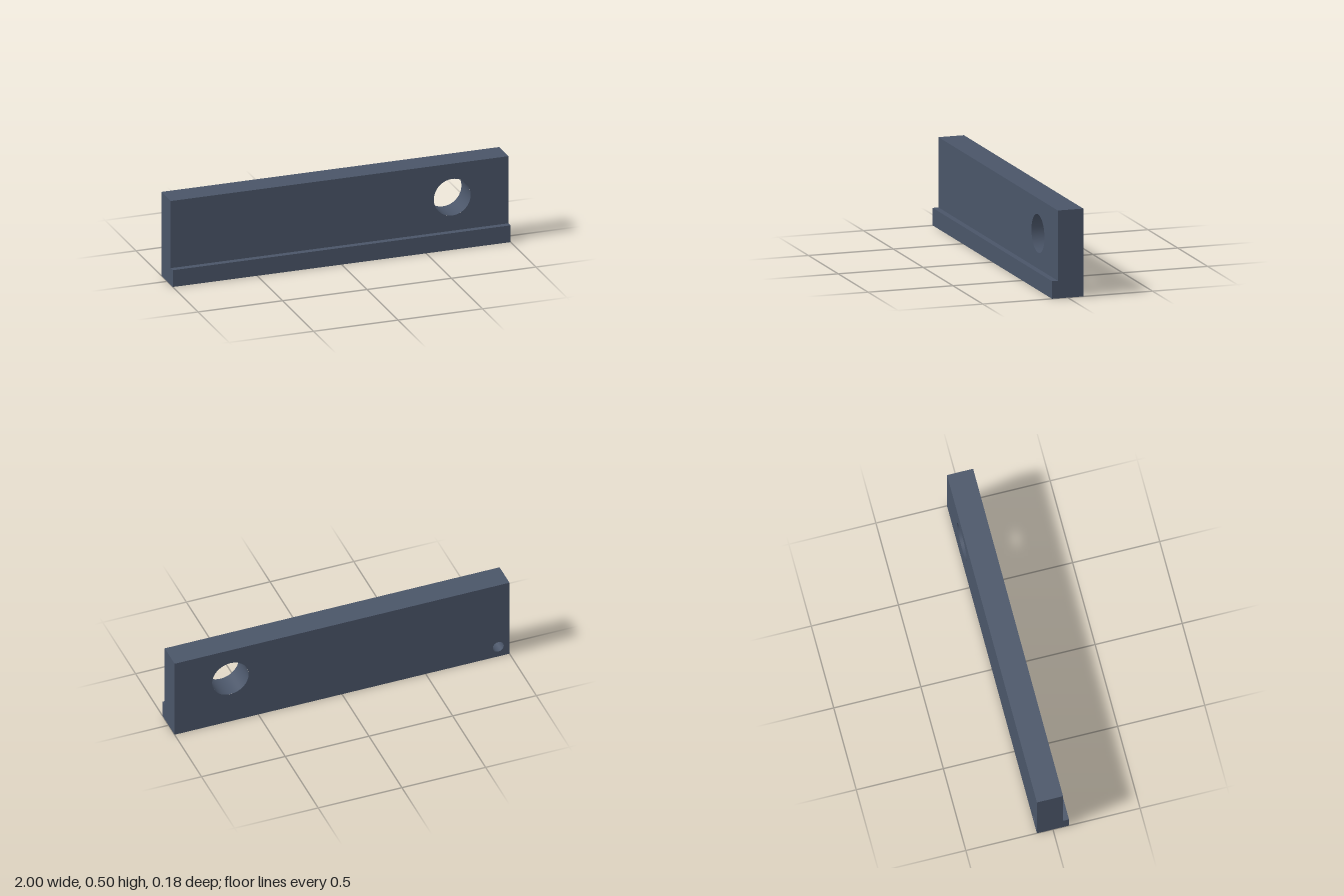
import * as THREE from 'three';

const TOP = 0.5, LIP = 0.1;                            // heights
const BACK = -0.092, FACE = 0.058, FRONT = 0.092;      // depths
const SEG = 48;
const eye = { x: 0.667, y: 0.3, r: 0.109 };            // large through hole
const pin = { x: -0.933, y: 0.067, r: 0.033 };         // blind hole in the back
const foot = { x: 0.933, z: -0.01, r: 0.033 };         // blind hole in the underside

function outline(points, holes = []) {
  const shape = new THREE.Shape(points.map(([x, y]) => new THREE.Vector2(x, y)));
  for (const [x, y, r] of holes) shape.holes.push(new THREE.Path().absarc(x, y, r, 0, Math.PI * 2, true));
  return shape;
}

const rect = (y0, y1) => [[-1, y0], [1, y0], [1, y1], [-1, y1]];

export function createModel() {
  const slate = new THREE.MeshStandardMaterial({ color: 0x4a5568 });
  slate.name = 'slate';
  const model = new THREE.Group();
  model.name = 'steppedPlate';

  function panel(name, shape, position, rx = 0, ry = 0) {
    const mesh = new THREE.Mesh(new THREE.ShapeGeometry(shape, SEG), slate);
    mesh.name = name;
    mesh.position.set(...position);
    mesh.rotation.set(rx, ry, 0);
    model.add(mesh);
  }

  // Inward-facing bore that opens along its local +y
  function bore(name, r, depth, position, rx, blind) {
    const group = new THREE.Group();
    group.name = name;
    const profile = [new THREE.Vector2(r, 0), new THREE.Vector2(r, -depth)];
    const wall = new THREE.Mesh(new THREE.LatheGeometry(profile, SEG), slate);
    wall.name = name + 'Wall';
    group.add(wall);
    if (blind) {
      const floor = new THREE.Mesh(new THREE.CircleGeometry(r, SEG), slate);
      floor.name = name + 'Floor';
      floor.rotation.x = -Math.PI / 2;
      floor.position.y = -depth;
      group.add(floor);
    }
    group.position.set(...position);
    group.rotation.x = rx;
    model.add(group);
  }

  const Q = Math.PI / 2;

  // Front of the plate and the raised lip along its foot
  panel('frontFace', outline(rect(LIP, TOP), [[eye.x, eye.y, eye.r]]), [0, 0, FACE]);
  panel('lipFront', outline(rect(0, LIP)), [0, 0, FRONT]);
  panel('lipTop', outline(rect(-FRONT, -FACE)), [0, LIP, 0], -Q);

  // Top, back and underside
  panel('topFace', outline(rect(-FACE, -BACK)), [0, TOP, 0], -Q);
  panel('backFace', outline(rect(0, TOP), [[-eye.x, eye.y, eye.r], [-pin.x, pin.y, pin.r]]), [0, 0, BACK], 0, Math.PI);
  panel('underside', outline(rect(BACK, FRONT), [[foot.x, foot.z, foot.r]]), [0, 0, 0], Q);

  // L-shaped ends
  const profile = [[BACK, 0], [FRONT, 0], [FRONT, LIP], [FACE, LIP], [FACE, TOP], [BACK, TOP]];
  panel('rightEnd', outline(profile), [-1, 0, 0], 0, -Q);
  panel('leftEnd', outline(profile.map(([z, y]) => [-z, y])), [1, 0, 0], 0, Q);

  // Holes
  bore('throughHole', eye.r, FACE - BACK, [eye.x, eye.y, FACE], Q, false);
  bore('backHole', pin.r, 0.1, [pin.x, pin.y, BACK], -Q, true);
  bore('undersideHole', foot.r, 0.1, [foot.x, 0, foot.z], Math.PI, true);

  return model;
}
